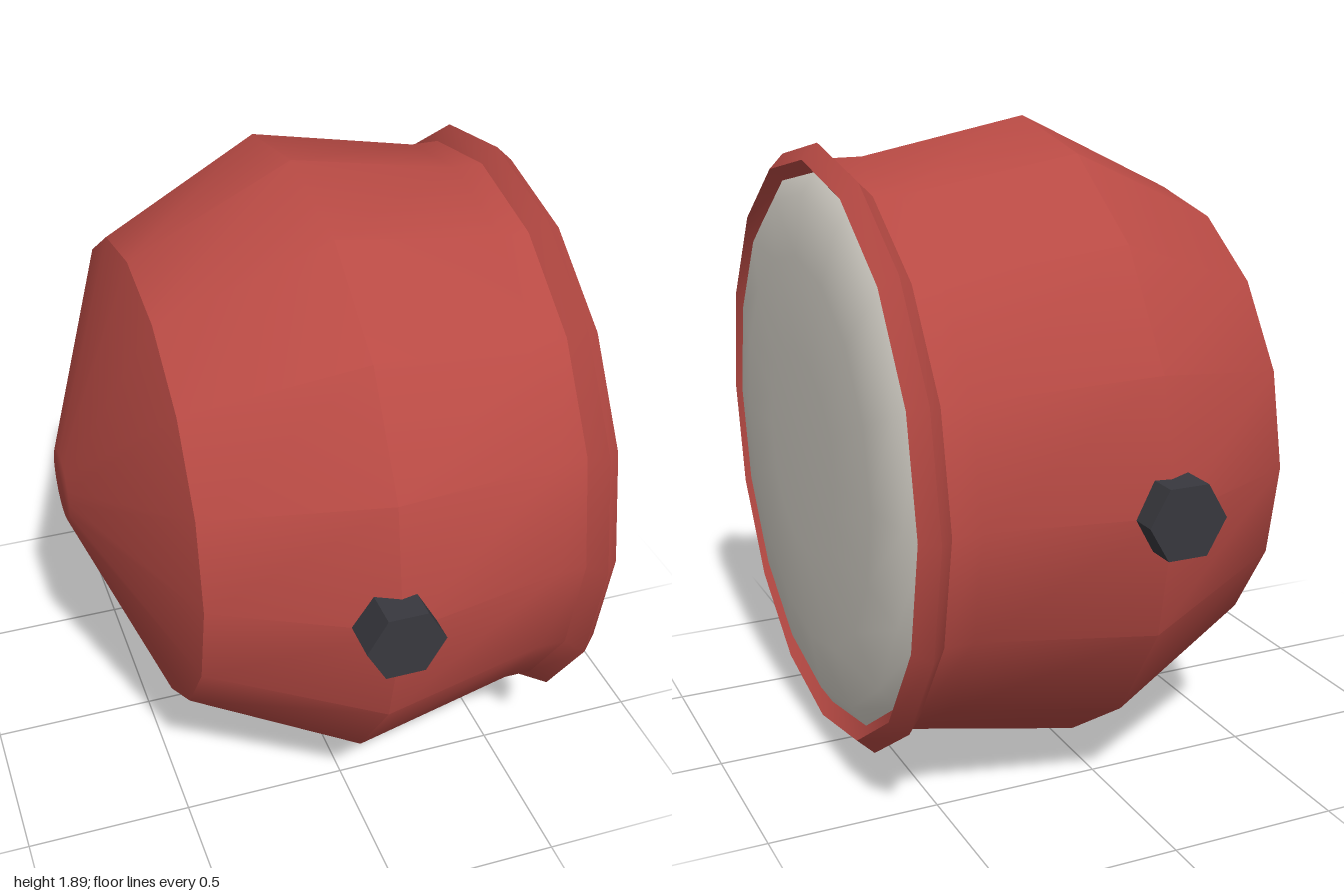
import * as THREE from 'three';
import { toCreasedNormals } from 'three/addons/utils/BufferGeometryUtils.js';

const CENTER_Y = 0.945;
const SIDES = 16;

// Revolve an (x, radius) profile around the horizontal x axis
function revolve(profile, crease) {
  const geometry = new THREE.LatheGeometry(
    profile.map(([x, r]) => new THREE.Vector2(r, x)), SIDES);
  geometry.rotateZ(-Math.PI / 2);
  return toCreasedNormals(geometry, crease);
}

function addMesh(group, name, geometry, material) {
  const mesh = new THREE.Mesh(geometry, material);
  mesh.name = name;
  group.add(mesh);
  return mesh;
}

export function createModel() {
  const red = new THREE.MeshStandardMaterial({ color: 0xb84a44 });
  red.name = 'red paint';
  const glass = new THREE.MeshStandardMaterial({ color: 0xd8d4cb });
  glass.name = 'pale glass';
  const metal = new THREE.MeshStandardMaterial({ color: 0x38383e });
  metal.name = 'dark metal';

  const lamp = new THREE.Group();
  lamp.name = 'lamp';
  const head = new THREE.Group();
  head.name = 'lampHead';
  head.position.y = CENTER_Y;
  lamp.add(head);

  // Bowl-shaped shell with a cone back
  addMesh(head, 'housing', revolve([
    [-0.72, 0], [-0.72, 0.11], [-0.48, 0.707], [0, 0.945], [0.5, 0.85], [0.585, 0.85],
  ], 0.7), red);

  // Ridged ring with a bevel leading in to the lens
  addMesh(head, 'rim', revolve([
    [0.585, 0.85], [0.63, 0.895], [0.677, 0.85], [0.642, 0.812],
  ], 0.7), red);

  // Shallow domed lens
  addMesh(head, 'lens', revolve([
    [0.642, 0.815], [0.68, 0.755], [0.704, 0.58], [0.711, 0.3], [0.712, 0],
  ], 1.2), glass);

  // Hexagonal pivot bolts on both sides
  for (const side of [1, -1]) {
    const geometry = new THREE.CylinderGeometry(0.113, 0.113, 0.2, 6);
    geometry.rotateY(Math.PI / 2);
    geometry.rotateX(Math.PI / 2);
    const bolt = addMesh(head, side > 0 ? 'frontBolt' : 'backBolt',
      toCreasedNormals(geometry, 0.5), metal);
    bolt.position.set(-0.01, 0, side * 0.9);
  }
  return lamp;
}
